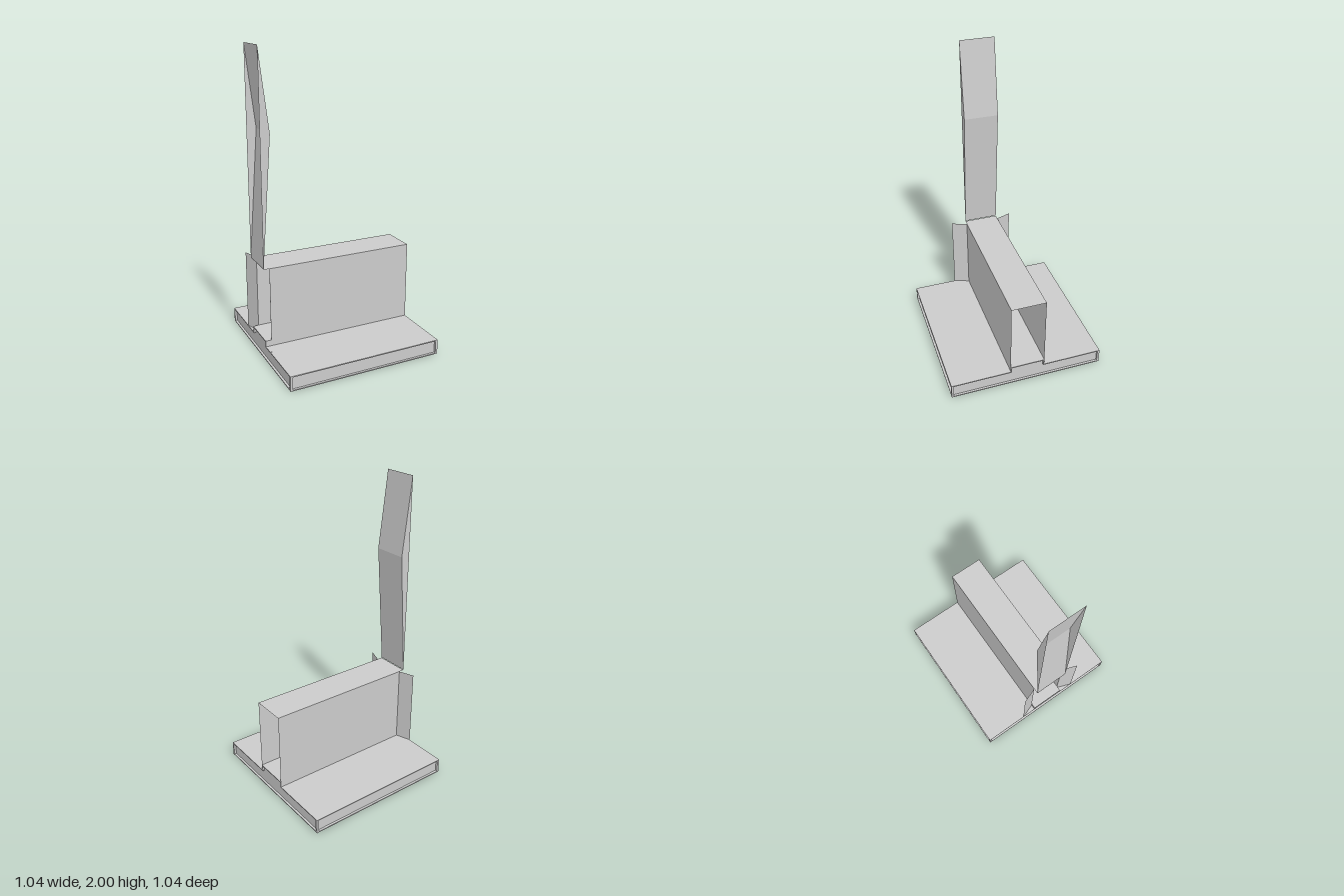
import * as THREE from 'three';

const H = 0.5225;      // half width of the base
const W = 0.117;       // half width of the tunnel
const BASE = 0.1, RAIL = 0.14, TOP = 0.632;
const RECESS = 0.015;  // depth of the recessed side panels
const RIM = 0.007;     // width of the rim around each panel

export function createModel() {
  const group = new THREE.Group();
  const solid = new THREE.MeshStandardMaterial({ color: 0xcccccc, flatShading: true });
  const sheet = new THREE.MeshStandardMaterial({ color: 0xcccccc, flatShading: true, side: THREE.DoubleSide });

  const add = (name, geometry, material = solid) => {
    const mesh = new THREE.Mesh(geometry, material);
    mesh.name = name;
    group.add(mesh);
    return mesh;
  };

  // Flat polygons given by their corners, fanned into triangles
  const polygons = (...faces) => {
    const pos = [];
    for (const f of faces) {
      for (let i = 1; i < f.length - 1; i++) pos.push(...f[0], ...f[i], ...f[i + 1]);
    }
    const g = new THREE.BufferGeometry();
    g.setAttribute('position', new THREE.Float32BufferAttribute(pos, 3));
    g.computeVertexNormals();
    return g;
  };

  // Base outline: wide slab with a low raised strip along the middle
  const outline = (half, inset) => [
    [-half, inset], [half, inset], [half, BASE - inset], [W - inset, BASE - inset],
    [W - inset, RAIL - inset], [-W + inset, RAIL - inset], [-W + inset, BASE - inset], [-half, BASE - inset],
  ].map(([x, y]) => new THREE.Vector2(x, y));

  // Extrude a shape along x, centred on the given x
  const alongX = (shape, depth, x) => new THREE.ExtrudeGeometry(shape, { depth, bevelEnabled: false })
    .translate(0, 0, -depth / 2).rotateY(Math.PI / 2).translate(x, 0, 0);

  // Base core
  add('baseCore', alongX(new THREE.Shape(outline(H - RECESS, 0)), 2 * (H - RECESS), 0));

  // Rims that frame the recessed panels on all four sides
  for (const s of [-1, 1]) {
    const end = new THREE.Shape(outline(H, 0));
    end.holes.push(new THREE.Path(outline(H - RECESS, RIM).reverse()));
    add(s > 0 ? 'leftBaseRim' : 'rightBaseRim', alongX(end, RECESS, s * (H - RECESS / 2)));

    for (const y of [RIM / 2, BASE - RIM / 2]) {
      const strip = new THREE.BoxGeometry(2 * (H - RECESS), RIM, RECESS);
      add(s > 0 ? 'frontBaseRim' : 'backBaseRim', strip).position.set(0, y, s * (H - RECESS / 2));
    }
  }

  // Tunnel side walls with flared guide flaps at the entry end
  const entry = -0.485;
  for (const s of [-1, 1]) {
    const z = s * W, flare = s * 0.22;
    add(s > 0 ? 'frontWall' : 'backWall', polygons(
      [[entry, BASE, z], [H, BASE, z], [H, TOP, z], [entry, TOP, z]]), sheet);
    add(s > 0 ? 'frontFlap' : 'backFlap', polygons(
      [[-H, BASE, flare], [entry, BASE, z], [entry, TOP, z], [-H, TOP, flare]]), sheet);
  }

  // Tunnel roof
  add('roof', polygons([[-H, TOP, W], [H, TOP, W], [H, TOP, -W], [-H, TOP, -W]]), sheet);

  // Tall upright panel, folded in the middle, closed at the sides and open behind
  const low = z => [-H, 0.635, z], mid = z => [-0.459, 1.48, z], high = z => [-H, 2, z];
  add('uprightPanel', polygons(
    [low(W), low(-W), mid(-W), mid(W)],
    [mid(W), mid(-W), high(-W), high(W)],
    [low(W), mid(W), high(W)],
    [low(-W), high(-W), mid(-W)]), sheet);

  return group;
}
